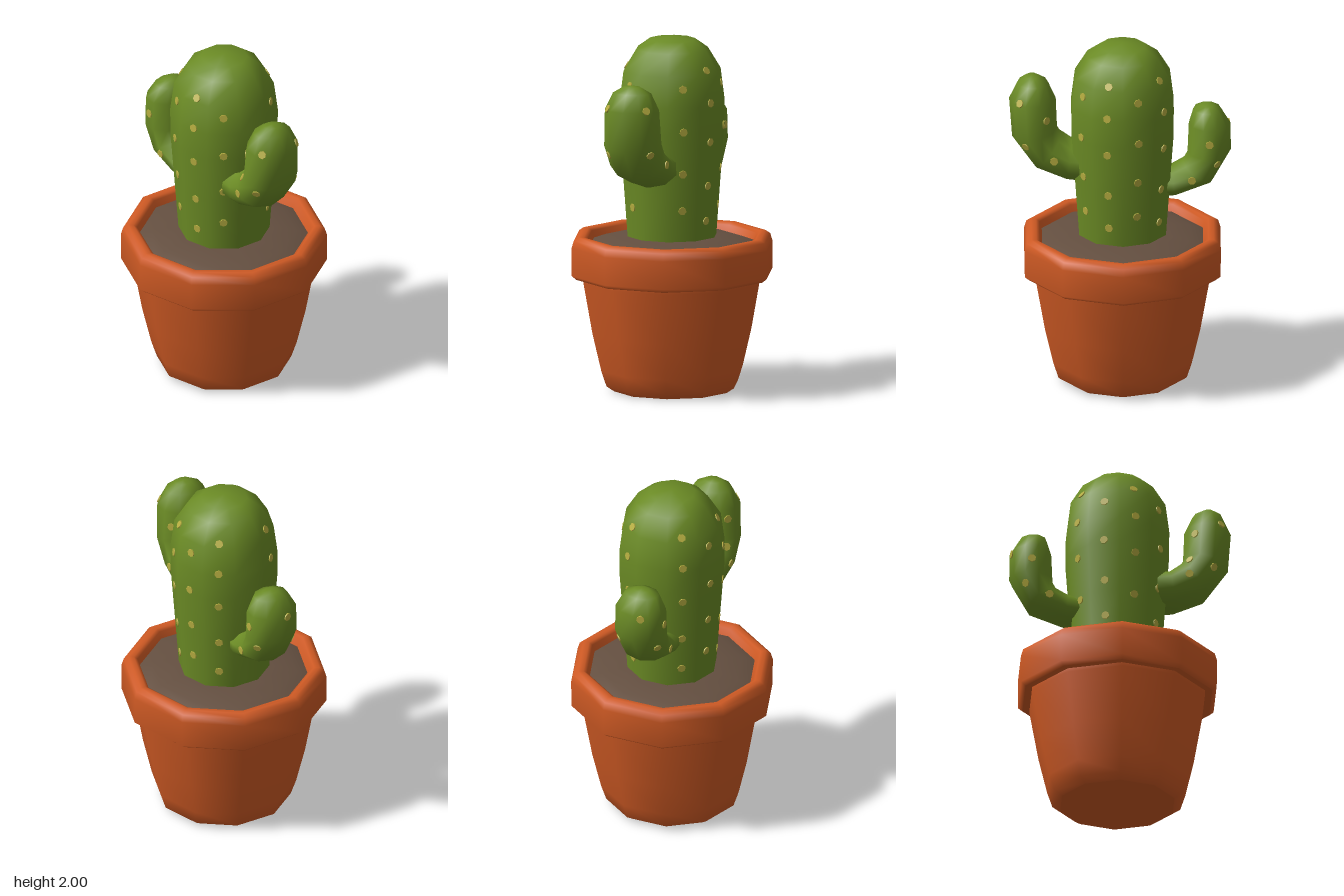
import * as THREE from 'three';

const SIDES = 10;
const CX = -0.015; // pot and trunk sit slightly off centre

const material = (name, color) => {
  const m = new THREE.MeshStandardMaterial({ color });
  m.name = name;
  return m;
};

// Point on a skin: each section is [ax, ay, bx, by, halfDepth, z], two opposite edge points plus depth
function sectionPoint(s, angle) {
  const c = Math.cos(angle), [ax, ay, bx, by, d, z] = s;
  return new THREE.Vector3(
    (ax + bx) / 2 + ((bx - ax) / 2) * c,
    (ay + by) / 2 + ((by - ay) / 2) * c,
    z + d * Math.sin(angle));
}

// Smooth skin through the sections, closed at the end by a tip point
function skin(sections, tip, phase) {
  const pos = [], index = [];
  sections.forEach(s => {
    for (let i = 0; i < SIDES; i++) pos.push(...sectionPoint(s, phase + (i / SIDES) * Math.PI * 2));
  });
  pos.push(...tip);
  const tipIndex = sections.length * SIDES;
  for (let r = 0; r < sections.length; r++) {
    for (let i = 0; i < SIDES; i++) {
      const j = (i + 1) % SIDES, a = r * SIDES + i, b = r * SIDES + j;
      if (r === sections.length - 1) index.push(a, tipIndex, b);
      else index.push(a, a + SIDES, b, b, a + SIDES, b + SIDES);
    }
  }
  const g = new THREE.BufferGeometry();
  g.setAttribute('position', new THREE.Float32BufferAttribute(pos, 3));
  g.setIndex(index);
  g.computeVertexNormals();
  return g;
}

// Thin spot lying on the middle of a facet; t is a section index with fraction
function addSpot(group, sections, phase, t, side, mat) {
  const r = Math.min(Math.floor(t), sections.length - 2), f = t - r;
  const a0 = phase + (side / SIDES) * Math.PI * 2, a1 = a0 + (Math.PI * 2) / SIDES;
  const edge = a => [sectionPoint(sections[r], a), sectionPoint(sections[r + 1], a)];
  const [p0, p1] = edge(a0), [q0, q1] = edge(a1);
  const p = p0.clone().lerp(p1, f), q = q0.clone().lerp(q1, f);
  const along = p1.clone().add(q1).sub(p0).sub(q0);
  const normal = along.cross(q.clone().sub(p)).normalize();
  const spot = new THREE.Mesh(new THREE.CylinderGeometry(0.023, 0.024, 0.009, 7), mat);
  spot.name = 'spot';
  spot.position.copy(p.add(q).multiplyScalar(0.5)).addScaledVector(normal, 0.001);
  spot.quaternion.setFromUnitVectors(new THREE.Vector3(0, 1, 0), normal);
  group.add(spot);
}

export function createModel() {
  const model = new THREE.Group();
  model.name = 'pottedCactus';
  const clay = material('terracotta', 0xcf5a24);
  const earth = material('soil', 0x644f40);
  const green = material('cactusGreen', 0x6b8b25);
  const yellow = material('spotYellow', 0xb6ad40);

  const lathe = (name, points, mat) => {
    const g = new THREE.LatheGeometry(points.map(p => new THREE.Vector2(...p)), SIDES);
    const m = new THREE.Mesh(g, mat);
    m.name = name;
    m.position.x = CX;
    model.add(m);
  };

  // Pot, rim and slightly domed soil
  lathe('potBase', [[0, 0], [0.33, 0]], clay);
  lathe('potWall', [[0.33, 0], [0.375, 0.03], [0.405, 0.12], [0.455, 0.33], [0.507, 0.62], [0.508, 0.65]], clay);
  lathe('potRimUnderside', [[0.49, 0.64], [0.548, 0.64]], clay);
  lathe('potRim', [[0.548, 0.64], [0.574, 0.662], [0.575, 0.82], [0.562, 0.862],
    [0.535, 0.88], [0.505, 0.878], [0.485, 0.865], [0.46, 0.79]], clay);
  lathe('soil', [[0.475, 0.825], [0.4, 0.852], [0.25, 0.875], [0, 0.88]], earth);

  // Trunk
  const trunk = new THREE.Group();
  trunk.name = 'cactusTrunk';
  model.add(trunk);
  const trunkPhase = Math.PI / SIDES;
  const trunkProfile = [[0.25, 0.8], [0.256, 0.9], [0.278, 1.2], [0.299, 1.48], [0.3, 1.64],
    [0.278, 1.81], [0.205, 1.93], [0.13, 1.983]];
  const trunkSections = trunkProfile.map(([r, y]) => [CX - r, y, CX + r, y, r, 0]);
  const trunkSkin = new THREE.Mesh(skin(trunkSections, [CX, 2, 0], trunkPhase), green);
  trunkSkin.name = 'trunkSkin';
  trunk.add(trunkSkin);

  // Staggered columns of spots, leaving the arm sides bare
  const rows = [[0.98, 1.18, 1.43, 1.65, 1.83], [1.05, 1.26, 1.5, 1.74]];
  for (let side = 0; side < SIDES; side++) {
    if (side === 4 || side === 9) continue;
    for (const y of rows[side % 2 === 0 ? 1 : 0]) {
      const k = trunkProfile.findIndex(p => p[1] > y) - 1;
      const t = k + (y - trunkProfile[k][1]) / (trunkProfile[k + 1][1] - trunkProfile[k][1]);
      addSpot(trunk, trunkSections, trunkPhase, t, side, yellow);
    }
  }

  // Arms bending upwards
  const arms = [
    {
      name: 'leftArm', tip: [0.49, 1.797, 0.03],
      sections: [
        [0.16, 1.4, 0.16, 1.17, 0.15, 0.02], [0.27, 1.41, 0.3, 1.19, 0.16, 0.02],
        [0.325, 1.45, 0.48, 1.26, 0.165, 0.03], [0.35, 1.49, 0.6, 1.43, 0.165, 0.03],
        [0.357, 1.66, 0.617, 1.66, 0.155, 0.03], [0.4, 1.755, 0.572, 1.755, 0.11, 0.03],
        [0.45, 1.79, 0.53, 1.79, 0.05, 0.03],
      ],
      spots: [[1.8, 2], [2.7, 1], [4.1, 1], [2.5, 3], [3.7, 3], [1.7, 7], [2.8, 8], [4.1, 8], [3.5, 6]],
    },
    {
      name: 'rightArm', tip: [-0.49, 1.624, 0.025],
      sections: [
        [-0.16, 1.08, -0.16, 1.23, 0.12, 0.02], [-0.31, 1.09, -0.29, 1.25, 0.135, 0.02],
        [-0.52, 1.17, -0.35, 1.285, 0.145, 0.025], [-0.62, 1.35, -0.378, 1.34, 0.15, 0.025],
        [-0.617, 1.51, -0.385, 1.51, 0.145, 0.025], [-0.565, 1.595, -0.41, 1.595, 0.1, 0.025],
        [-0.525, 1.618, -0.455, 1.618, 0.045, 0.025],
      ],
      spots: [[1.75, 2], [2.6, 3], [3.5, 2], [3.9, 4], [1.75, 7], [2.7, 6], [3.5, 7]],
    },
  ];
  for (const { name, tip, sections, spots } of arms) {
    const arm = new THREE.Group();
    arm.name = name;
    const armSkin = new THREE.Mesh(skin(sections, tip, 0), green);
    armSkin.name = name + 'Skin';
    arm.add(armSkin);
    spots.forEach(([t, side]) => addSpot(arm, sections, 0, t, side, yellow));
    model.add(arm);
  }
  return model;
}
